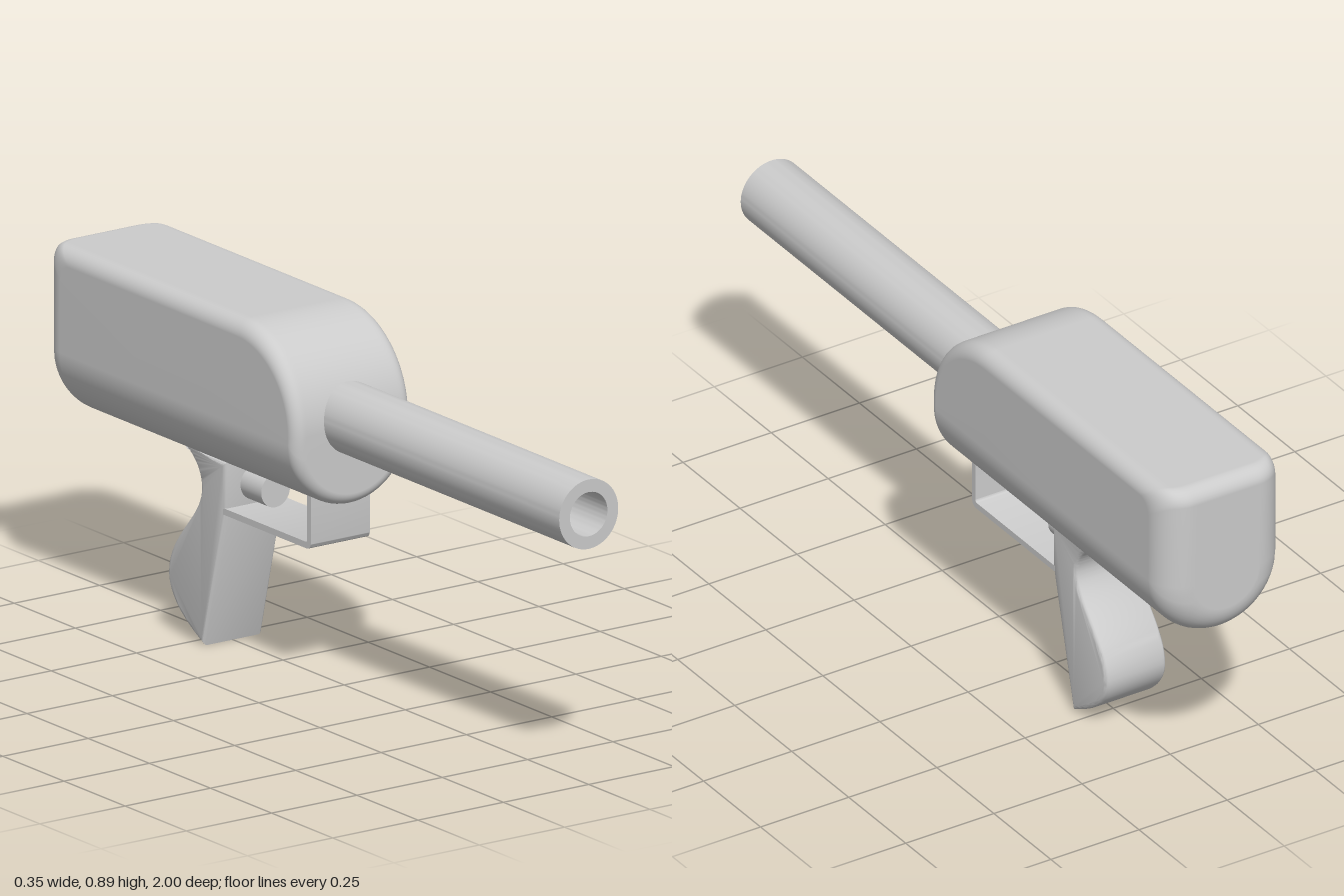
import * as THREE from 'three';
import { mergeVertices, toCreasedNormals } from 'three/addons/utils/BufferGeometryUtils.js';

const material = new THREE.MeshStandardMaterial({ color: 0xcccccc });

function add(group, name, geometry) {
  const mesh = new THREE.Mesh(geometry, material);
  mesh.name = name;
  group.add(mesh);
}

// How far a fillet of radius r pulls back at distance s from the middle of a section of half width w
function inset(s, w, r) {
  const t = Math.min(r, Math.max(0, s - (w - r)));
  return r - Math.sqrt(r * r - t * t);
}

// U-shaped housing, lofted across x from side outlines with filleted edges
function bodyGeometry() {
  const W = 0.173, axisY = 0.63, top = 0.89, front = 0.04, back = -1;
  const rFront = 0.03, rTop = 0.04, rBack = 0.08, N = 10;

  // Curve on the round belly where it turns into the front or back face
  const lowerCorner = (x, r, place) => {
    const start = Math.asin(Math.min(1, Math.max(0, (x - (W - r)) / r)));
    const pts = [];
    for (let k = 0; k <= N; k++) {
      const phi = start + (Math.PI / 2 - start) * k / N;
      const rho = W - r + r * Math.sin(phi);
      const y = axisY - Math.sqrt(Math.max(0, rho * rho - x * x));
      pts.push([place(r - r * Math.cos(phi)), y]);
    }
    return pts;
  };

  const outline = (x) => {
    const dF = inset(x, W, rFront), dT = inset(x, W, rTop), dB = inset(x, W, rBack);
    const pts = lowerCorner(x, rFront, d => front - d).reverse();
    for (let k = 0; k <= 24; k++) { // rounded nose
      const a = Math.PI / 2 * k / 24;
      pts.push([-0.2 + (0.24 - dF) * Math.cos(a), 0.65 + (top - 0.65 - dT) * Math.sin(a)]);
    }
    for (let k = 0; k <= 8; k++) { // upper back corner
      const a = Math.PI / 2 * k / 8;
      pts.push([back + dB + 0.04 - 0.04 * Math.sin(a), top - dT - 0.04 + 0.04 * Math.cos(a)]);
    }
    return pts.concat(lowerCorner(x, rBack, d => back + d));
  };

  const pos = [], index = [], M = 48;
  let n = 0;
  for (let i = 0; i <= M; i++) {
    const x = W * Math.sin(Math.PI * (i / M - 0.5));
    const ring = outline(Math.abs(x));
    n = ring.length;
    ring.forEach(([z, y]) => pos.push(x, y, z));
  }
  for (let i = 0; i < M; i++) {
    for (let j = 0; j < n; j++) {
      const k = (j + 1) % n;
      const a = i * n + j, b = i * n + k, c = b + n, d = a + n;
      index.push(a, c, b, a, d, c);
    }
  }
  // Flat side panels
  const left = pos.length / 3;
  pos.push(W, 0.72, -0.5, -W, 0.72, -0.5);
  for (let j = 0; j < n; j++) {
    const k = (j + 1) % n;
    index.push(left, M * n + k, M * n + j, left + 1, j, k);
  }
  const geo = new THREE.BufferGeometry();
  geo.setAttribute('position', new THREE.Float32BufferAttribute(pos, 3));
  geo.setIndex(index);
  const merged = mergeVertices(geo, 1e-5);
  merged.computeVertexNormals();
  return merged;
}

// Extrudes a side profile drawn in (z, y) symmetrically across x
function acrossX(shape, width, bevel) {
  const geo = new THREE.ExtrudeGeometry(shape, {
    depth: width - 2 * bevel, curveSegments: 20, bevelEnabled: bevel > 0,
    bevelSize: bevel, bevelThickness: bevel, bevelOffset: -bevel, bevelSegments: 4,
  });
  geo.translate(0, 0, -(width - 2 * bevel) / 2);
  geo.rotateY(-Math.PI / 2);
  return toCreasedNormals(geo, 0.6);
}

export function createModel() {
  const group = new THREE.Group();
  add(group, 'body', bodyGeometry());

  // Hollow barrel with a blind bore
  const profile = [[0, -0.06], [0.0865, -0.06], [0.0865, 1], [0.055, 1], [0.055, 0.53], [0, 0.53]];
  const barrel = new THREE.LatheGeometry(profile.map(p => new THREE.Vector2(...p)), 64);
  barrel.rotateX(Math.PI / 2);
  barrel.translate(0, 0.673, 0);
  add(group, 'barrel', toCreasedNormals(barrel, 0.6));

  // Curved pistol grip
  const grip = new THREE.Shape();
  grip.moveTo(-0.365, 0.478);
  grip.lineTo(-0.365, 0.36);
  grip.lineTo(-0.455, 0);
  grip.bezierCurveTo(-0.53, 0.035, -0.605, 0.085, -0.603, 0.152);
  grip.bezierCurveTo(-0.6, 0.25, -0.468, 0.315, -0.468, 0.39);
  grip.bezierCurveTo(-0.468, 0.43, -0.5, 0.465, -0.535, 0.478);
  grip.closePath();
  add(group, 'grip', acrossX(grip, 0.173, 0.012));

  // Bent strip guarding the trigger
  const guard = new THREE.Shape();
  guard.moveTo(-0.015, 0.49);
  guard.lineTo(-0.015, 0.367);
  guard.quadraticCurveTo(-0.015, 0.347, -0.035, 0.347);
  guard.lineTo(-0.375, 0.347);
  guard.lineTo(-0.375, 0.363);
  guard.lineTo(-0.037, 0.363);
  guard.quadraticCurveTo(-0.03, 0.363, -0.03, 0.37);
  guard.lineTo(-0.03, 0.49);
  guard.closePath();
  add(group, 'triggerGuard', acrossX(guard, 0.173, 0));

  // Round push trigger
  const trigger = new THREE.CylinderGeometry(0.042, 0.042, 0.11, 40);
  trigger.rotateX(Math.PI / 2);
  trigger.translate(0, 0.415, -0.335);
  add(group, 'trigger', trigger);

  return group;
}
